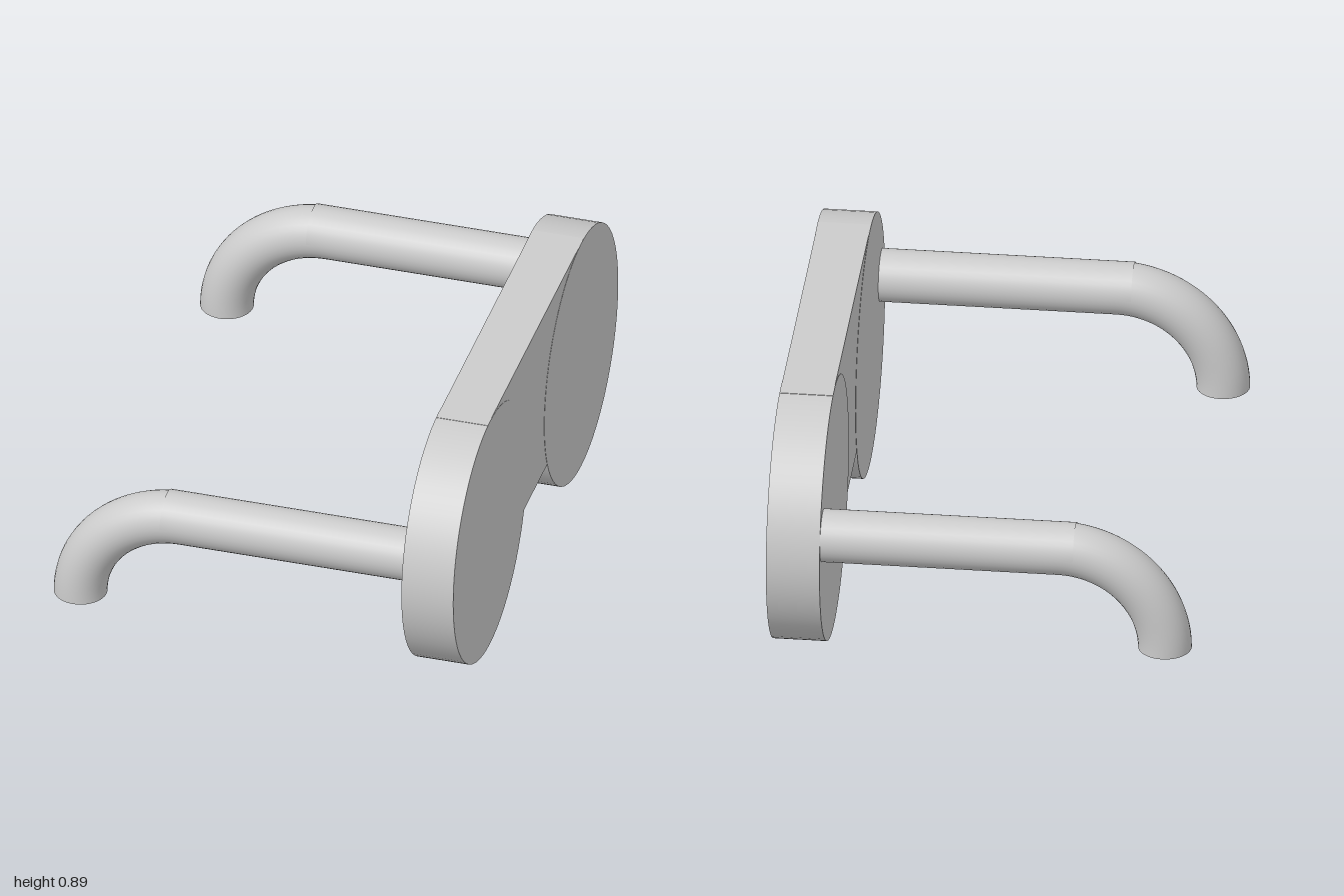
import * as THREE from 'three';

export function createModel() {
  const model = new THREE.Group();
  const solid = new THREE.MeshStandardMaterial({ color: 0xcccccc });
  const open = new THREE.MeshStandardMaterial({ color: 0xcccccc, side: THREE.DoubleSide });

  const frameX = 0.62, thickness = 0.18, lensRadius = 0.4475;
  const tubeRadius = 0.09, armY = 0.535, bendX = -0.265, bendY = 0.18;

  function add(name, geometry, x, y, z, material = solid) {
    const mesh = new THREE.Mesh(geometry, material);
    mesh.name = name;
    mesh.position.set(x, y, z);
    model.add(mesh);
    return mesh;
  }

  // Thick round lenses, facing along x
  const lens = new THREE.CylinderGeometry(lensRadius, lensRadius, thickness, 64).rotateZ(Math.PI / 2);
  // Straight temple arm, running slightly into the elbow
  const armStart = -0.32, armEnd = 0.54;
  const arm = new THREE.CylinderGeometry(tubeRadius, tubeRadius, armEnd - armStart, 32, 1, true)
    .rotateZ(Math.PI / 2);
  // Quarter-bend ear hook with an open end
  const hook = new THREE.TorusGeometry(armY - bendY, tubeRadius, 32, 24, Math.PI / 2).rotateZ(Math.PI / 2);

  const sides = [
    { label: 'left', lensZ: 0.5525, armZ: 0.877 },
    { label: 'right', lensZ: -0.5525, armZ: -0.897 },
  ];
  for (const { label, lensZ, armZ } of sides) {
    add(label + 'Lens', lens, frameX, lensRadius, lensZ);
    add(label + 'Arm', arm, (armStart + armEnd) / 2, armY, armZ, open);
    add(label + 'EarHook', hook, bendX, bendY, armZ, open);
  }

  // Deep bridge block, a hair thinner than the lenses so their faces stay clean
  add('bridge', new THREE.BoxGeometry(thickness - 0.002, 0.625, 1.165), frameX, 0.5825, -0.003);

  return model;
}
